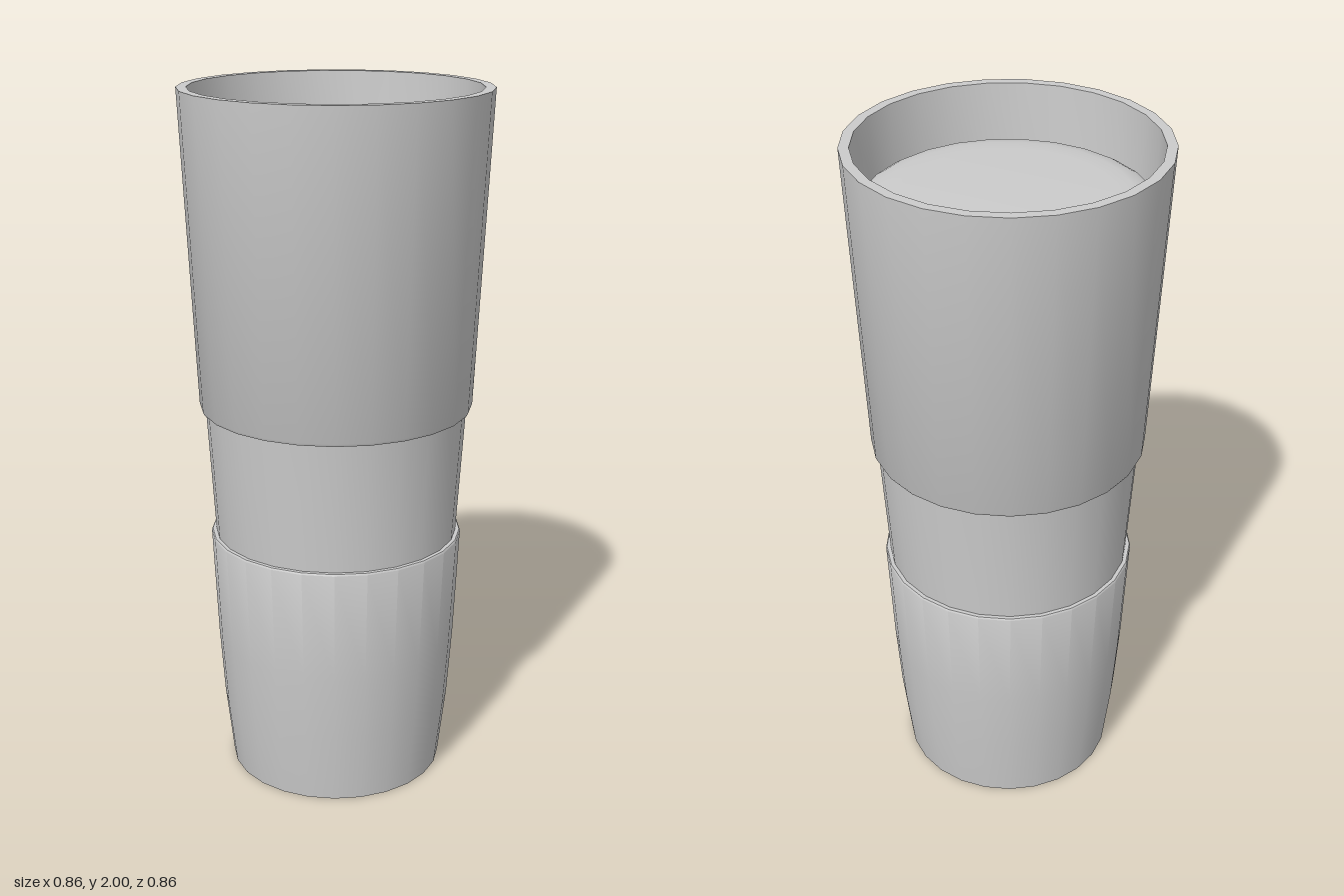
import * as THREE from 'three';
import { toCreasedNormals } from 'three/addons/utils/BufferGeometryUtils.js';

const SIDES = 25;
const material = new THREE.MeshStandardMaterial({ color: 0xcccccc });

// Turn a [radius, height] profile around the y axis, keeping rims sharp
function turned(name, profile) {
  const points = profile.map(([r, y]) => new THREE.Vector2(r, y));
  const lathe = new THREE.LatheGeometry(points, SIDES, Math.PI);
  const mesh = new THREE.Mesh(toCreasedNormals(lathe, 0.6), material);
  mesh.name = name;
  return mesh;
}

export function createModel() {
  const group = new THREE.Group();
  group.name = 'tumbler';

  group.add(
    // Tapered base with a closed bottom and a narrow ledge on top
    turned('lowerBody', [
      [0, 0], [0.312, 0], [0.335, 0.2], [0.349, 0.4], [0.364, 0.725], [0.361, 0.73], [0.35, 0.73],
    ]),
    // Recessed grip band
    turned('gripBand', [[0.35, 0.73], [0.373, 1.11]]),
    // Upper wall: underside step, outside, rim and inside
    turned('upperBody', [
      [0.373, 1.107], [0.385, 1.107], [0.389, 1.115], [0.43, 2], [0.402, 2], [0.393, 1.8],
    ]),
    // Gently domed surface inside the rim
    turned('innerSurface', [
      [0.394, 1.82], [0.385, 1.84], [0.365, 1.852], [0.33, 1.859], [0.28, 1.862], [0, 1.863],
    ]),
  );
  return group;
}
